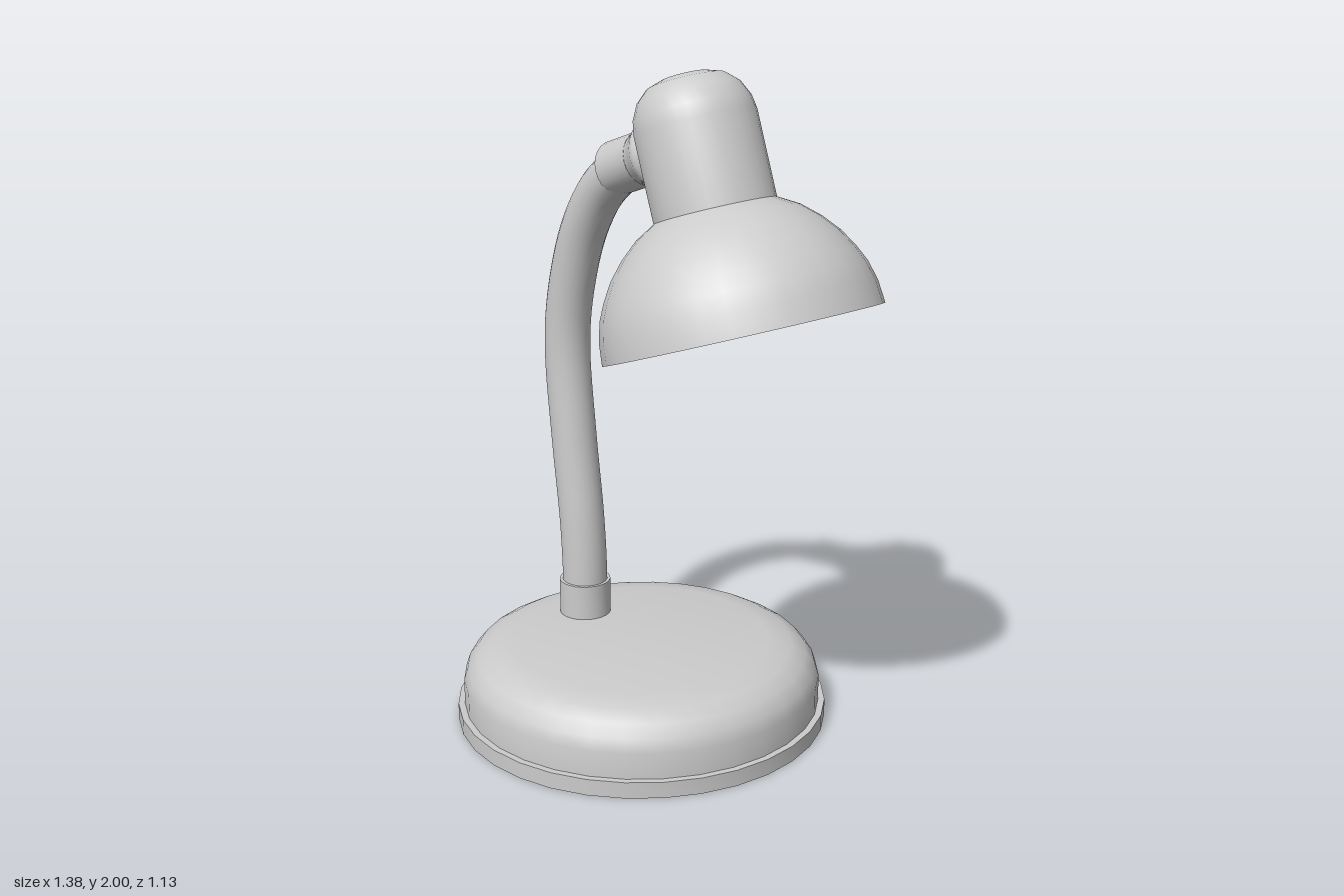
import * as THREE from 'three';
import { toCreasedNormals } from 'three/addons/utils/BufferGeometryUtils.js';

const material = new THREE.MeshStandardMaterial({ color: 0xcccccc });
const TILT = THREE.MathUtils.degToRad(19.8);

function add(parent, name, geometry) {
  const mesh = new THREE.Mesh(geometry, material);
  mesh.name = name;
  parent.add(mesh);
  return mesh;
}

// Turned part from [radius, height] pairs, sharp only at real edges
function turned(points, segments = 32) {
  const profile = points.map(([r, y]) => new THREE.Vector2(r, y));
  return toCreasedNormals(new THREE.LatheGeometry(profile, segments), 0.65);
}

export function createModel() {
  const lamp = new THREE.Group();
  lamp.name = 'deskLamp';

  // Base: thin foot plate under a rounded body
  const base = new THREE.Group();
  base.name = 'base';
  base.position.x = -0.125;
  lamp.add(base);
  add(base, 'footPlate', turned([[0, 0], [0.565, 0], [0.565, 0.05], [0, 0.05]]));
  add(base, 'baseBody', turned([
    [0.545, 0.04], [0.545, 0.13], [0.533, 0.168], [0.505, 0.203],
    [0.46, 0.228], [0.39, 0.24], [0, 0.24],
  ]));

  // Collar where the arm enters the base
  add(lamp, 'armCollar', turned([[0.08, 0.2], [0.08, 0.35], [0, 0.35]], 24))
    .position.x = -0.4;

  // Curved arm
  const path = new THREE.CatmullRomCurve3([
    [-0.4, 0.24], [-0.4, 0.38], [-0.411, 0.55], [-0.443, 0.8], [-0.47, 1.08],
    [-0.458, 1.23], [-0.405, 1.42], [-0.35, 1.53], [-0.285, 1.615],
    [-0.2, 1.68], [-0.12, 1.717],
  ].map(([x, y]) => new THREE.Vector3(x, y, 0)));
  add(lamp, 'arm', new THREE.TubeGeometry(path, 48, 0.07, 24));

  // Sleeve with a flared joint that meets the shade
  const joint = new THREE.Group();
  joint.name = 'shadeJoint';
  joint.position.set(-0.224, 1.68, 0);
  joint.rotation.z = TILT - Math.PI / 2;
  lamp.add(joint);
  add(joint, 'sleeve', turned([[0, 0], [0.08, 0], [0.08, 0.135], [0, 0.135]], 24));
  add(joint, 'flare', turned([
    [0.078, 0.13], [0.083, 0.15], [0.093, 0.172], [0.105, 0.195],
    [0.105, 0.21], [0.09, 0.235], [0, 0.235],
  ], 24));

  // Tilted head: double-walled shade and bulb, measured from the rim centre
  const head = new THREE.Group();
  head.name = 'head';
  head.position.set(0.3125, 1.296, 0);
  head.rotation.z = TILT;
  lamp.add(head);
  const outer = [
    [0.396, 0], [0.39, 0.066], [0.375, 0.122], [0.354, 0.167], [0.322, 0.22],
    [0.28, 0.269], [0.23, 0.313], [0.173, 0.346], [0.173, 0.59], [0.166, 0.631],
    [0.145, 0.674], [0.11, 0.706], [0.065, 0.721], [0, 0.725],
  ];
  const inner = outer.map(([r, y]) => [Math.max(0, r - 0.012), y * 0.98]).reverse();
  add(head, 'shade', turned([...inner, ...outer]));

  // Bulb: round end with a neck running up into the cap
  const bulb = [];
  for (let i = 0; i <= 12; i++) {
    const a = (i / 12) * Math.PI * 0.8;
    bulb.push([0.087 * Math.sin(a), 0.23 - 0.087 * Math.cos(a)]);
  }
  bulb.push([0.048, 0.34], [0.048, 0.715]);
  add(head, 'bulb', turned(bulb, 24));

  return lamp;
}
